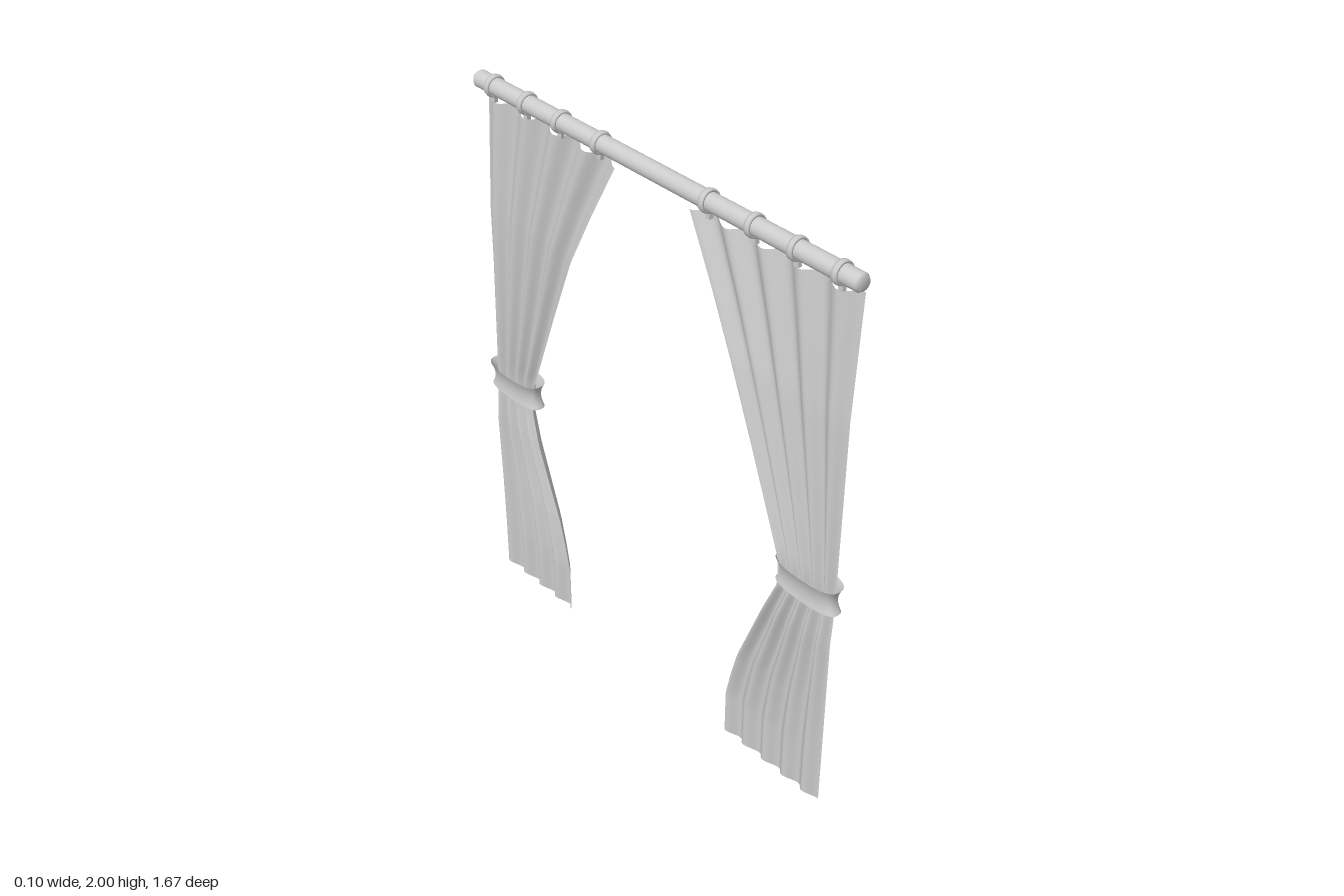
import * as THREE from 'three';

const ROD_Y = 1.962, OUTER = 0.815;
const grey = new THREE.MeshStandardMaterial({ color: 0xcccccc });
const cloth = new THREE.MeshStandardMaterial({ color: 0xcccccc, side: THREE.DoubleSide });

// Smooth curve through [height, value] pairs, listed from the floor up
function sample(points, y) {
  let i = 0;
  while (i < points.length - 2 && y > points[i + 1][0]) i++;
  const [y0, v0] = points[i], [y1, v1] = points[i + 1];
  return THREE.MathUtils.lerp(v0, v1, THREE.MathUtils.clamp((y - y0) / (y1 - y0), 0, 1));
}

// Inner edge, depth offset and pleat size along the curtain's height
const innerEdge = [[0, 0.405], [0.2, 0.405], [0.3, 0.425], [0.4, 0.45], [0.6, 0.525], [0.8, 0.6], [0.9, 0.59],
  [1.05, 0.535], [1.24, 0.465], [1.5, 0.365], [1.7, 0.27], [1.92, 0.157]];
const offset = [[0, -0.022], [0.68, -0.022], [0.82, -0.01], [1.5, -0.01], [1.92, 0.009]];
const pleat = [[0, 0.016], [0.7, 0.015], [0.85, 0.012], [1.5, 0.014], [1.92, 0.016]];

// Surface from a grid of points: fn(u, v) gives [x, y, z]
function sheet(nu, nv, fn) {
  const geo = new THREE.PlaneGeometry(1, 1, nu, nv);
  const pos = geo.attributes.position;
  for (let i = 0; i < pos.count; i++) pos.setXYZ(i, ...fn(pos.getX(i) + 0.5, pos.getY(i) + 0.5));
  geo.computeVertexNormals();
  return geo;
}

function add(group, name, geometry, material = grey) {
  const mesh = new THREE.Mesh(geometry, material);
  mesh.name = name;
  group.add(mesh);
  return mesh;
}

function curtainGeometry(side) {
  return sheet(72, 64, (u, v) => {
    const wave = Math.cos(u * Math.PI * 2 * 4.5);
    const bottom = 0.013 - 0.012 * wave, top = 1.914 + 0.006 * wave;
    const y = THREE.MathUtils.lerp(bottom, top, v);
    const z = THREE.MathUtils.lerp(OUTER, sample(innerEdge, y), u);
    return [sample(offset, y) + sample(pleat, y) * wave, y, side * z];
  });
}

// Flared band with a flattened oval section, pinched at mid height
function tieGeometry(side) {
  return sheet(40, 8, (u, v) => {
    const a = u * Math.PI * 2, c = Math.cos(a), s = Math.sin(a);
    const flare = (2 * v - 1) ** 2;
    const halfX = 0.034 + 0.006 * flare + 0.009 * v * v;
    const halfZ = 0.112 + 0.015 * flare;
    const round = (t) => Math.sign(t) * Math.abs(t) ** 0.75;
    return [-0.002 + halfX * round(c), 0.81 + 0.092 * v, side * (0.707 + halfZ * round(s))];
  });
}

export function createModel() {
  const model = new THREE.Group();
  model.name = 'curtains';

  // Rod along z with slightly rounded ends
  const r = 0.029, half = 0.83;
  const profile = [[0, -half], [r * 0.75, -half], [r, -half + 0.01],
    [r, half - 0.01], [r * 0.75, half], [0, half]].map(([x, y]) => new THREE.Vector2(x, y));
  const rod = add(model, 'rod', new THREE.LatheGeometry(profile, 32));
  rod.rotation.x = Math.PI / 2;
  rod.position.y = ROD_Y;

  // Flat ring section, shared by all rings
  const ringProfile = [[0.029, -0.01], [0.036, -0.01], [0.038, 0], [0.036, 0.01], [0.029, 0.01], [0.029, -0.01]]
    .map(([x, y]) => new THREE.Vector2(x, y));
  const ringGeometry = new THREE.LatheGeometry(ringProfile, 24).rotateX(Math.PI / 2);
  const hookGeometry = new THREE.BoxGeometry(0.014, 0.026, 0.018);

  for (const side of [1, -1]) {
    const half = new THREE.Group();
    half.name = side > 0 ? 'frontCurtain' : 'backCurtain';
    model.add(half);
    add(half, 'cloth', curtainGeometry(side), cloth);
    add(half, 'tieBand', tieGeometry(side), cloth);

    // Rings with small hooks holding the cloth
    for (const z of [0.75, 0.585, 0.42, 0.235]) {
      const ring = new THREE.Group();
      ring.name = 'ring';
      ring.position.set(0, ROD_Y, side * z);
      ring.rotation.x = -side * 0.06;
      add(ring, 'hoop', ringGeometry, cloth);
      add(ring, 'hook', hookGeometry).position.y = -0.042;
      half.add(ring);
    }
  }
  return model;
}
